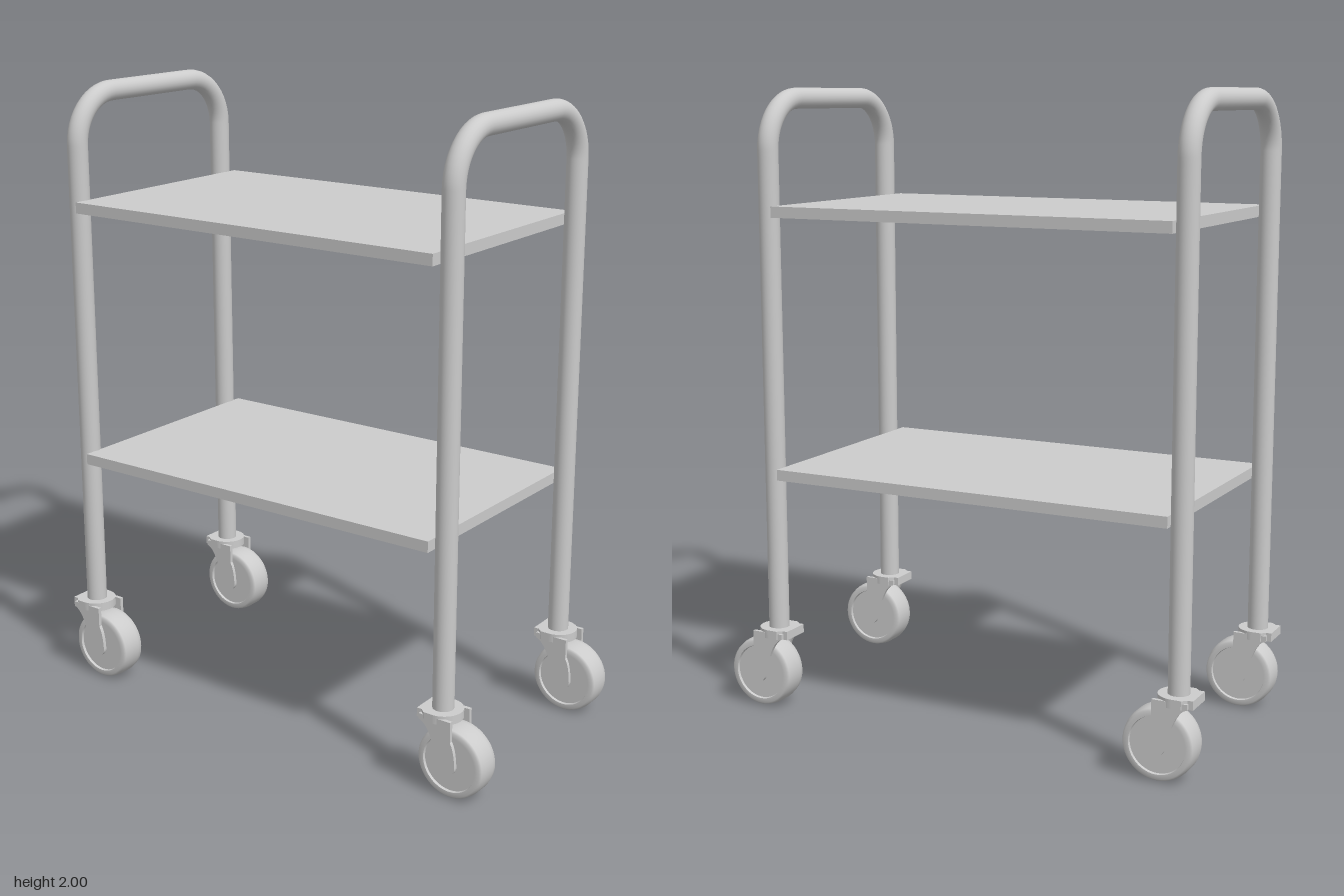
import * as THREE from 'three';

const grey = new THREE.MeshStandardMaterial({ color: 0xcccccc });

function addMesh(parent, name, geometry, x = 0, y = 0, z = 0) {
  const mesh = new THREE.Mesh(geometry, grey);
  mesh.name = name;
  mesh.position.set(x, y, z);
  parent.add(mesh);
  return mesh;
}

// Inverted U of bent tube: two legs joined by a rounded push handle
function frameGeometry() {
  const v = (x, y) => new THREE.Vector3(x, y, 0);
  const half = 0.35, top = 1.967, bend = 0.16, foot = 0.255;
  const k = bend * 0.448;
  const path = new THREE.CurvePath();
  path.add(new THREE.LineCurve3(v(-half, foot), v(-half, top - bend)));
  path.add(new THREE.CubicBezierCurve3(v(-half, top - bend), v(-half, top - k), v(-half + k, top), v(-half + bend, top)));
  path.add(new THREE.LineCurve3(v(-half + bend, top), v(half - bend, top)));
  path.add(new THREE.CubicBezierCurve3(v(half - bend, top), v(half - k, top), v(half, top - k), v(half, top - bend)));
  path.add(new THREE.LineCurve3(v(half, top - bend), v(half, foot)));
  return new THREE.TubeGeometry(path, 200, 0.033, 24);
}

// Wheel: crowned tyre with recessed side discs, spun about x
function wheelGeometry() {
  const side = [[0, 0.036], [0.088, 0.036], [0.088, 0.036], [0.09, 0.044], [0.09, 0.044],
    [0.104, 0.044], [0.11, 0.038], [0.114, 0.02]];
  const profile = [
    ...side.map(([r, x]) => new THREE.Vector2(r, -x)),
    ...side.slice().reverse().map(([r, x]) => new THREE.Vector2(r, x)),
  ];
  return new THREE.LatheGeometry(profile, 48).rotateZ(Math.PI / 2);
}

// Swivel plate: round at the front, squared at the rear
function plateGeometry() {
  const s = new THREE.Shape();
  s.moveTo(0.062, 0);
  s.absarc(0, 0, 0.062, 0, Math.PI, true);
  s.lineTo(-0.062, 0.03);
  s.lineTo(-0.048, 0.045);
  s.lineTo(-0.048, 0.062);
  s.lineTo(0.048, 0.062);
  s.lineTo(0.048, 0.045);
  s.lineTo(0.062, 0.03);
  s.closePath();
  // shape y becomes -z
  return new THREE.ExtrudeGeometry(s, { depth: 0.028, bevelEnabled: false, curveSegments: 24 }).rotateX(-Math.PI / 2);
}

// Fork cheek: raked blade with a rounded end around the axle (shape x becomes z)
function cheekGeometry() {
  const s = new THREE.Shape();
  s.moveTo(0.062, 0.26);
  s.lineTo(0.062, 0.195);
  s.quadraticCurveTo(0.077, 0.17, 0.079, 0.115);
  s.absarc(0.05, 0.115, 0.029, 0, -Math.PI * 0.9, true);
  s.lineTo(0, 0.18);
  s.quadraticCurveTo(-0.02, 0.235, -0.048, 0.243);
  s.lineTo(-0.048, 0.26);
  s.closePath();
  return new THREE.ExtrudeGeometry(s, { depth: 0.012, bevelEnabled: false, curveSegments: 12 })
    .translate(0, 0, -0.006).rotateY(-Math.PI / 2);
}

export function createModel() {
  const model = new THREE.Group();
  model.name = 'serviceTrolley';

  // End frames
  const frontZ = 0.65, backZ = -0.748;
  const frame = frameGeometry();
  addMesh(model, 'frontFrame', frame, 0, 0, frontZ);
  addMesh(model, 'backFrame', frame, 0, 0, backZ);

  // Shelves held between the frames
  const shelf = new THREE.BoxGeometry(0.79, 0.035, 1.336);
  addMesh(model, 'upperShelf', shelf, -0.005, 1.62, -0.05);
  addMesh(model, 'lowerShelf', shelf, -0.005, 0.784, -0.05);

  // Casters, all trailing towards the front
  const wheel = wheelGeometry();
  const plate = plateGeometry();
  const cheek = cheekGeometry();
  const axle = new THREE.CylinderGeometry(0.015, 0.015, 0.11, 20).rotateZ(Math.PI / 2);
  for (const [end, z] of [['front', frontZ], ['back', backZ]]) {
    for (const [side, x] of [['Left', 0.35], ['Right', -0.35]]) {
      const caster = new THREE.Group();
      caster.name = `${end}${side}Caster`;
      caster.position.set(x, 0, z);
      addMesh(caster, 'swivelPlate', plate, 0, 0.241, 0);
      addMesh(caster, 'leftForkCheek', cheek, 0.054, 0, 0);
      addMesh(caster, 'rightForkCheek', cheek, -0.054, 0, 0);
      addMesh(caster, 'axle', axle, 0, 0.115, 0.05);
      addMesh(caster, 'wheel', wheel, 0, 0.115, 0.05);
      model.add(caster);
    }
  }
  return model;
}
